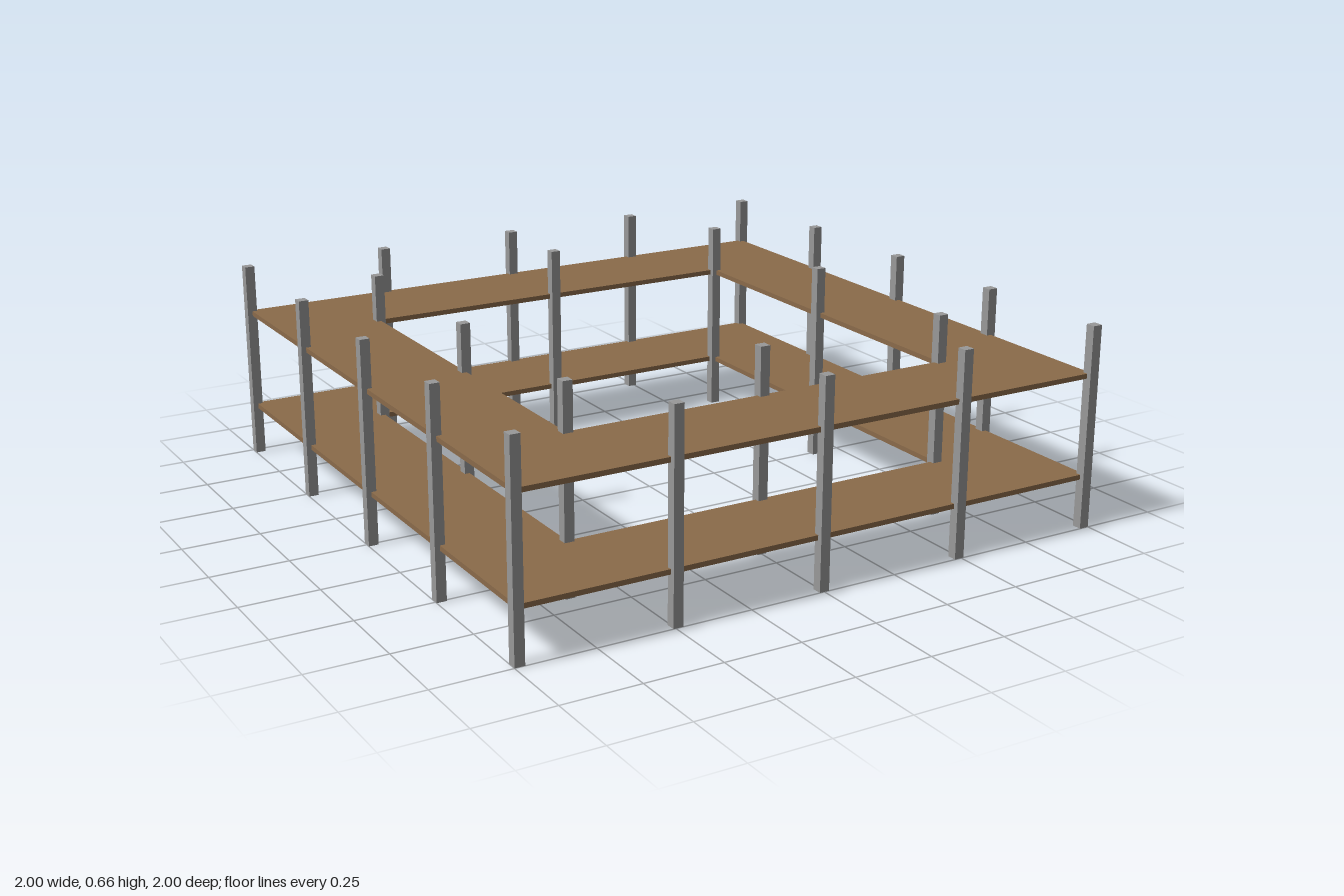
import * as THREE from 'three';

const OUTER = 0.984, INNER = 0.656, HEIGHT = 0.656, POST = 0.032, DECK = 0.016;

// Square outline, usable as a shape or a hole
function square(PathType, r) {
  const p = new PathType();
  p.moveTo(-r, -r);
  p.lineTo(r, -r);
  p.lineTo(r, r);
  p.lineTo(-r, r);
  p.closePath();
  return p;
}

export function createModel() {
  const wood = new THREE.MeshStandardMaterial({ name: 'brown wood', color: 0x8b6b4a });
  const metal = new THREE.MeshStandardMaterial({ name: 'grey metal', color: 0x999999 });
  const model = new THREE.Group();
  model.name = 'scaffold';

  // Two square walkway decks with an open middle
  const outline = square(THREE.Shape, OUTER);
  outline.holes.push(square(THREE.Path, INNER));
  const deckGeometry = new THREE.ExtrudeGeometry(outline, { depth: DECK, bevelEnabled: false });
  deckGeometry.rotateX(-Math.PI / 2).translate(0, -DECK / 2, 0);
  [['lowerDeck', 0.166], ['upperDeck', 0.494]].forEach(([name, y]) => {
    const deck = new THREE.Mesh(deckGeometry, wood);
    deck.name = name;
    deck.position.y = y;
    model.add(deck);
  });

  // Square posts evenly spaced around each edge of the decks
  const postGeometry = new THREE.BoxGeometry(POST, HEIGHT, POST).translate(0, HEIGHT / 2, 0);
  function addPosts(name, r, bays) {
    const ring = new THREE.Group();
    ring.name = name + 's';
    for (let i = 0; i <= bays; i++) {
      for (let j = 0; j <= bays; j++) {
        if (i % bays && j % bays) continue; // perimeter only
        const post = new THREE.Mesh(postGeometry, metal);
        post.name = name;
        post.position.set(r * (2 * i / bays - 1), 0, r * (2 * j / bays - 1));
        ring.add(post);
      }
    }
    model.add(ring);
  }
  addPosts('outerPost', OUTER, 4);
  addPosts('innerPost', INNER, 2);

  return model;
}
